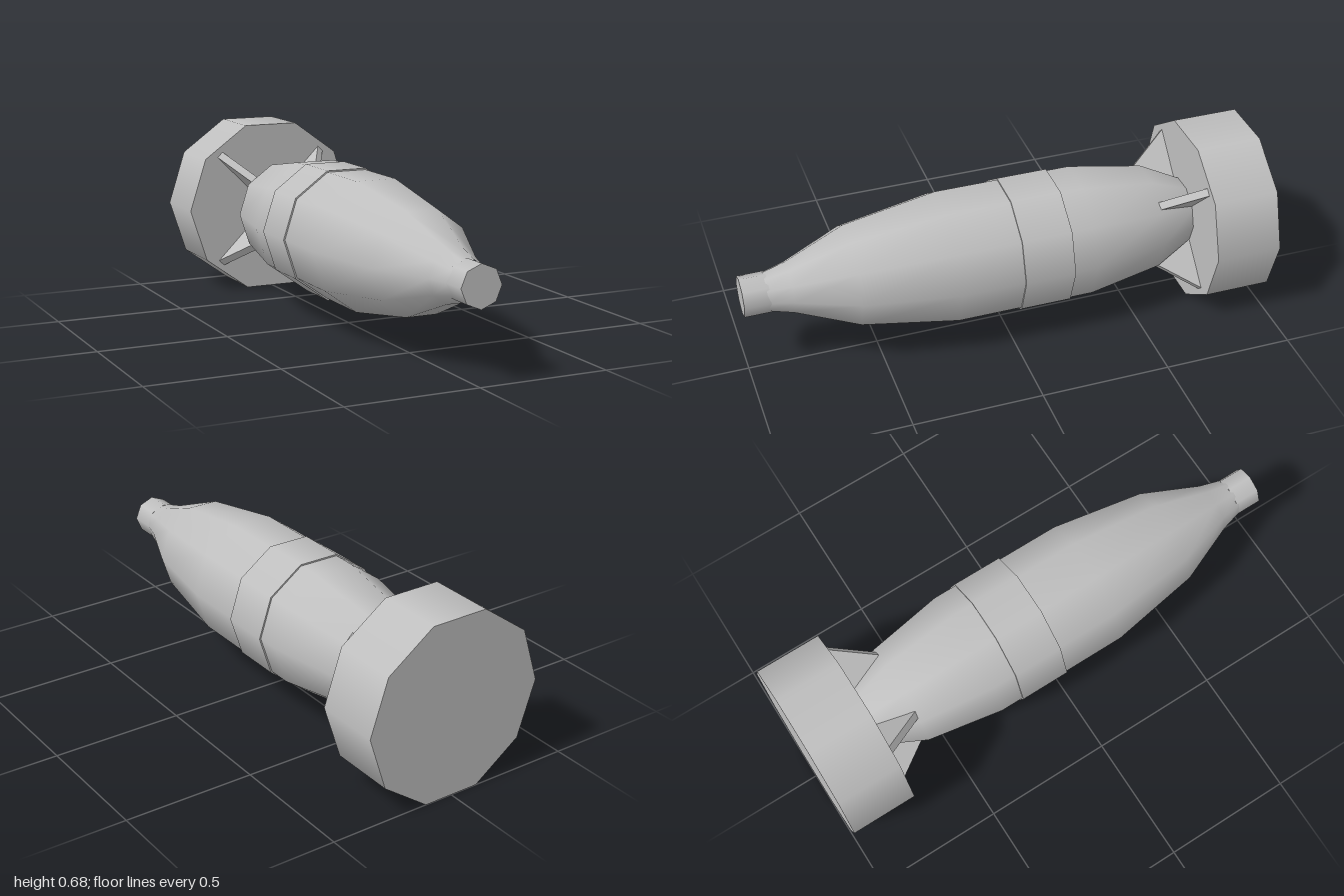
import * as THREE from 'three';

const AXIS_Y = 0.344;
const SIDES = 10;

export function createModel() {
  const model = new THREE.Group();
  model.name = 'finnedShell';
  const grey = new THREE.MeshStandardMaterial({ color: 0xc0c0c0 });
  grey.name = 'plain grey';

  const add = (name, geometry) => {
    const mesh = new THREE.Mesh(geometry, grey);
    mesh.name = name;
    mesh.position.y = AXIS_Y;
    model.add(mesh);
    return mesh;
  };

  // Capped prism lying along z, with a corner on +x
  const drum = (name, radius, zBack, zFront, sides) => {
    const g = new THREE.CylinderGeometry(radius, radius, zFront - zBack, sides, 1, false, Math.PI / 2);
    g.rotateX(Math.PI / 2);
    g.translate(0, 0, (zFront + zBack) / 2);
    return add(name, g);
  };

  // Smooth tapering body, from tail to nose: [radius, z]
  const profile = [
    [0.12, -0.76], [0.206, -0.59], [0.257, -0.3], [0.257, 0.23],
    [0.197, 0.59], [0.1, 0.82], [0.075, 0.91],
  ].map(([r, z]) => new THREE.Vector2(r, z));
  const body = new THREE.LatheGeometry(profile, SIDES, Math.PI / 2);
  body.rotateX(Math.PI / 2);
  add('body', body);

  // Nose cap, middle band and tail drum
  drum('noseCap', 0.078, 0.9, 1, 8);
  drum('middleBand', 0.263, -0.21, -0.015, SIDES);
  drum('tailDrum', 0.36, -1, -0.745, SIDES);

  // Four triangular fins joining the body to the tail drum
  const thickness = 0.03;
  const outline = new THREE.Shape([
    new THREE.Vector2(0.05, -0.75),
    new THREE.Vector2(0.325, -0.75),
    new THREE.Vector2(0.197, -0.59),
    new THREE.Vector2(0.18, -0.59),
  ]);
  for (let i = 0; i < 4; i++) {
    const fin = new THREE.ExtrudeGeometry(outline, { depth: thickness, bevelEnabled: false });
    fin.translate(0, 0, -thickness / 2);
    fin.rotateX(Math.PI / 2);
    fin.rotateZ(Math.PI / 4 + (i * Math.PI) / 2);
    add('fin' + (i + 1), fin);
  }

  return model;
}
